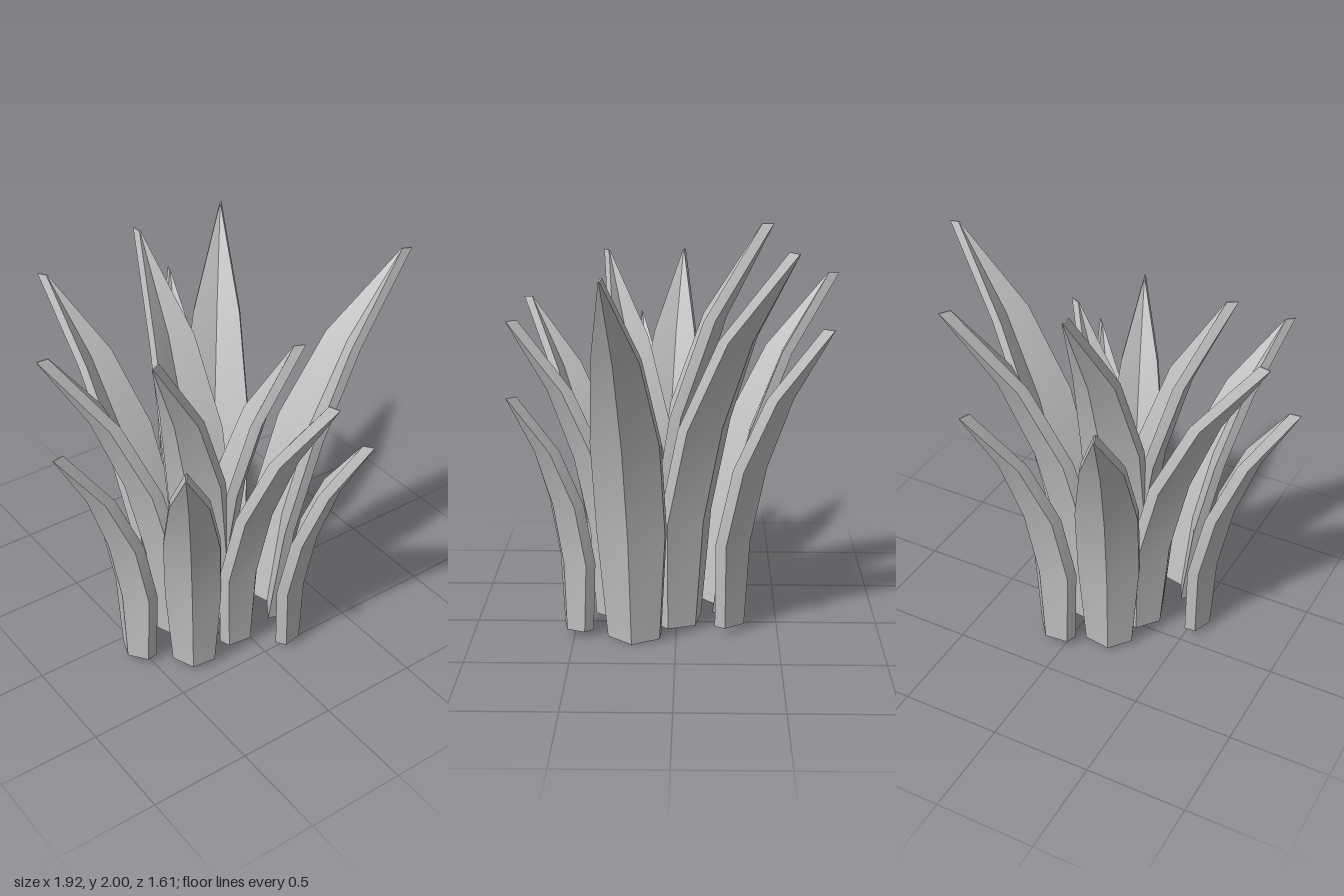
import * as THREE from 'three';

// Spine of a unit blade: [length, angle from vertical in degrees] per segment
const SEGMENTS = [[0.275, 0], [0.245, 8.3], [0.235, 16.5], [0.245, 26]];
// Relative width and fold slope at each level
const WIDTHS = [0.76, 0.98, 0.96, 0.65, 0.02];
const FOLDS = [0.53, 0.5, 0.48, 0.5, 0.5];
const THICKNESS = 0.055;

const spine = [new THREE.Vector2(0, 0)]; // x = outward, y = up
for (const [len, deg] of SEGMENTS) {
  const a = THREE.MathUtils.degToRad(deg);
  const p = spine[spine.length - 1];
  spine.push(new THREE.Vector2(p.x + len * Math.sin(a), p.y + len * Math.cos(a)));
}
const chord = spine[spine.length - 1];

// Folded blade: six-point chevron sections swept up the spine.
// Each long strip has its own vertices: smooth lengthwise, sharp across.
function bladeGeometry(length, width) {
  const rings = spine.map((p, i) => {
    const w = width * WIDTHS[i] / 2, y = p.y * length, z = p.x * length;
    const wing = z - w * FOLDS[i];
    return [
      [-w, y, wing], [0, y, z], [w, y, wing],
      [w, y, wing - THICKNESS], [0, y, z - THICKNESS], [-w, y, wing - THICKNESS],
    ];
  });
  const pos = [], index = [];
  for (let j = 0; j < 6; j++) {
    const start = pos.length / 3;
    rings.forEach((ring, i) => {
      pos.push(...ring[j], ...ring[(j + 1) % 6]);
      if (i === 0) return;
      const b = start + 2 * i, a = b - 2;
      index.push(a, a + 1, b + 1, a, b + 1, b);
    });
  }
  // Base and tip caps
  const cap = (ring, corners) => {
    const s = pos.length / 3;
    corners.forEach((c) => pos.push(...ring[c]));
    index.push(s, s + 1, s + 2, s, s + 2, s + 3);
  };
  cap(rings[0], [0, 5, 4, 1]);
  cap(rings[0], [1, 4, 3, 2]);
  cap(rings[rings.length - 1], [0, 1, 4, 5]);
  cap(rings[rings.length - 1], [1, 2, 3, 4]);
  const g = new THREE.BufferGeometry();
  g.setAttribute('position', new THREE.Float32BufferAttribute(pos, 3));
  g.setIndex(index);
  g.computeVertexNormals();
  return g;
}

// Blade whose outer spine runs from base to tip
function makeBlade(base, tip, material, widthRatio = 0.162) {
  const dx = tip[0] - base[0], dy = tip[1] - base[1], dz = tip[2] - base[2];
  const out = Math.hypot(dx, dz);
  const length = Math.hypot(out, dy) / chord.length();
  const mesh = new THREE.Mesh(bladeGeometry(length, length * widthRatio), material);
  mesh.rotation.order = 'YXZ';
  mesh.rotation.y = Math.atan2(dx, dz);
  mesh.rotation.x = Math.atan2(out, dy) - Math.atan2(chord.x, chord.y);
  mesh.position.set(...base);
  return mesh;
}

// [base, tip, optional width ratio]
const INNER = [
  [[-0.095, 0.02, -0.02], [-0.095, 2.0, -0.46]],
  [[-0.235, 0.02, 0.2], [-0.55, 1.81, 0.375]],
  [[0.03, 0.025, 0.205], [0.305, 1.62, 0.345]],
];
const OUTER = [
  [[-0.21, 0.015, -0.245], [-0.43, 1.71, -0.805], 0.168],
  [[0.1, 0.04, -0.335], [0.275, 1.56, -0.73], 0.175],
  [[0.105, 0.03, -0.095], [0.47, 1.94, -0.55], 0.17],
  [[-0.36, 0.03, 0.05], [-0.88, 1.76, -0.03], 0.175],
  [[-0.595, 0.04, 0.155], [-0.96, 1.41, 0.205], 0.175],
  [[-0.37, 0.025, 0.4], [-0.68, 1.54, 0.805], 0.168],
  [[-0.025, 0.04, 0.405], [0.135, 1.57, 0.8], 0.175],
  [[0.185, 0.04, 0.535], [0.378, 1.26, 0.775], 0.175],
  [[0.287, 0.005, 0.215], [0.96, 1.9, 0.3], 0.165],
];

export function createModel() {
  const model = new THREE.Group();
  model.name = 'spikyPlant';
  const leafGrey = new THREE.MeshStandardMaterial({ color: 0xc4c4c4 });
  leafGrey.name = 'leafGrey';
  for (const [name, list] of [['innerLeaf', INNER], ['outerLeaf', OUTER]]) {
    list.forEach(([base, tip, ratio], i) => {
      const leaf = makeBlade(base, tip, leafGrey, ratio);
      leaf.name = name + (i + 1);
      model.add(leaf);
    });
  }
  return model;
}
